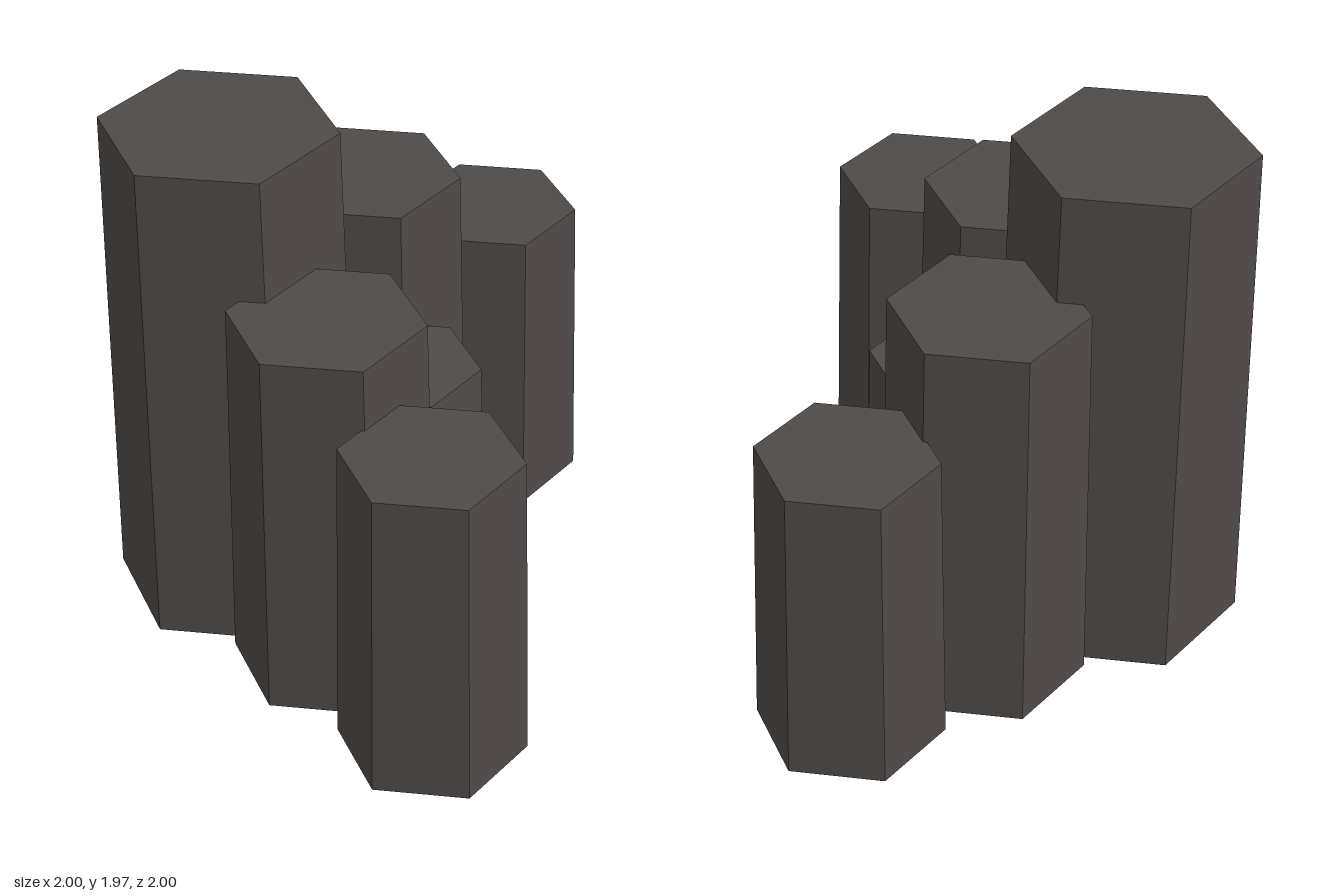
import * as THREE from 'three';

// Cluster of tapered hexagonal basalt columns
const columns = [
  // name, x, z, bottom radius, height
  ['tallCornerColumn', -0.555, 0.555, 0.461, 1.965],
  ['frontMiddleColumn', 0.07, 0.555, 0.377, 1.49],
  ['frontEndColumn', 0.665, 0.555, 0.344, 1.25],
  ['backMiddleColumn', -0.555, -0.07, 0.377, 1.55],
  ['backEndColumn', -0.555, -0.665, 0.344, 1.19],
  ['innerShortColumn', -0.11, 0.107, 0.318, 1.015],
];
const TAPER = 0.933;
const TURN = THREE.MathUtils.degToRad(15);

export function createModel() {
  const group = new THREE.Group();
  group.name = 'basaltColumns';
  const basalt = new THREE.MeshStandardMaterial({ color: 0x4f4a48 });
  basalt.name = 'basalt';
  basalt.flatShading = true;

  for (const [name, x, z, radius, height] of columns) {
    const geometry = new THREE.CylinderGeometry(radius * TAPER, radius, height, 6, 1, false, TURN);
    const column = new THREE.Mesh(geometry, basalt);
    column.name = name;
    column.position.set(x, height / 2, z);
    group.add(column);
  }
  return group;
}
